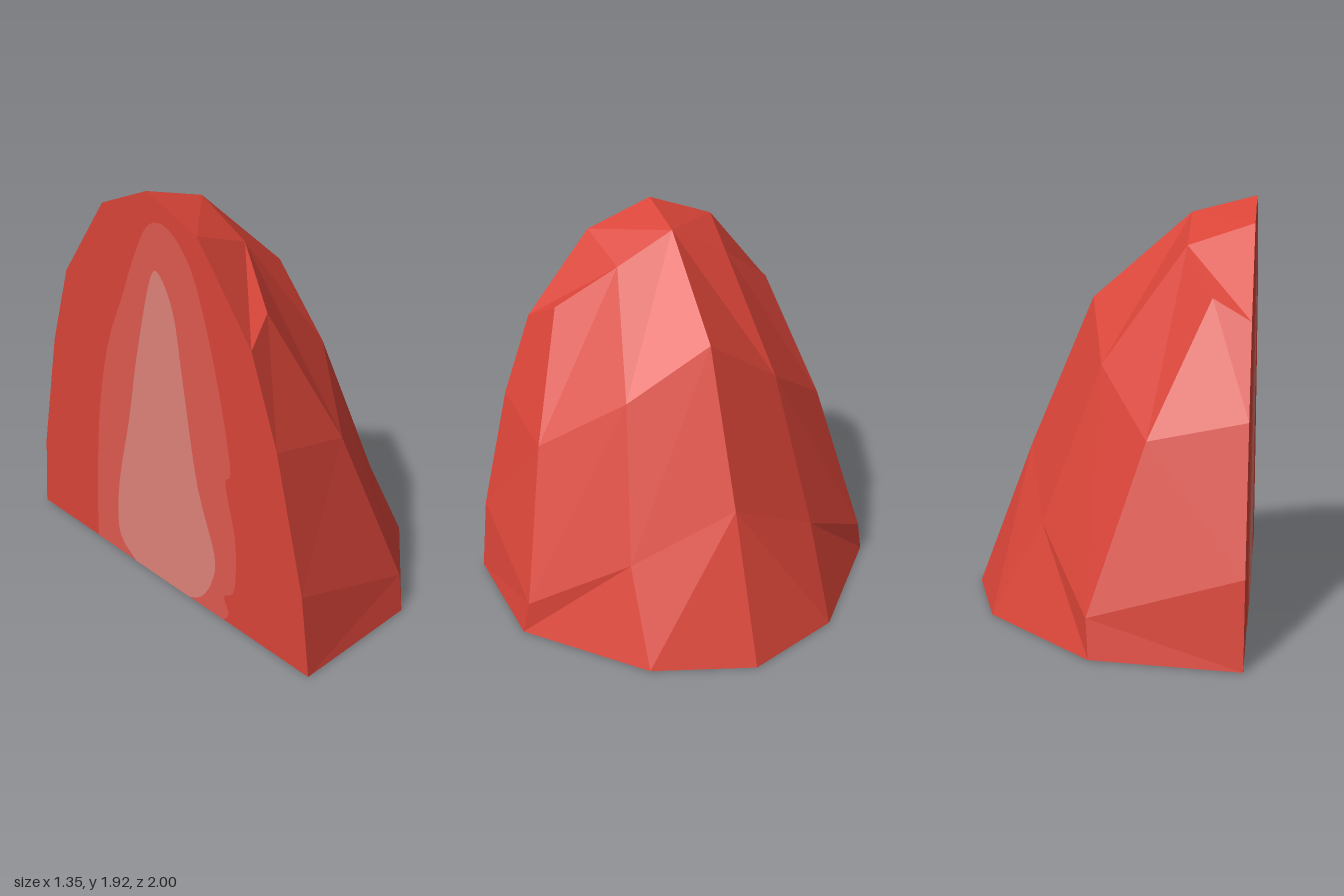
import * as THREE from 'three';

const CUT = -0.675; // x of the flat cut face

// Corner points of the +z half, in columns from the cut (a) to the middle ridge (d)
const P = {
  o: [CUT, 0, 0],
  a0: [CUT, 0, 1], a1: [CUT, 0.38, 0.955], a2: [CUT, 1, 0.8], a3: [CUT, 1.4, 0.65], a4: [CUT, 1.8, 0.325], a5: [CUT, 1.92, 0],
  b0: [-0.025, 0, 0.955], b1: [-0.01, 0.17, 0.92], b2: [-0.245, 0.9, 0.755], b3: [-0.505, 1.49, 0.56], b4: [-0.375, 1.7, 0.28],
  c0: [0.5, 0, 0.48], c1: [0.26, 0.45, 0.478], c2: [0, 1.17, 0.385],
  d0: [0.672, 0, 0], d1: [0.4, 0.72, 0], d2: [0.095, 1.44, 0], d4: [-0.375, 1.845, 0],
};

const SKIN = [
  'a0 b0 b1 a1', 'a1 b1 b2 a2', 'a2 b2 b3 a3', 'a3 b3 b4 a4', 'a4 b4 d4 a5',
  'b0 c0 c1 b1', 'b1 c1 c2 b2', 'b2 c2 b4 b3',
  'c0 d0 d1 c1', 'c1 d1 d2 c2', 'c2 d2 d4 b4',
];
const CUT_FACE = ['o a0 a1 a2 a3 a4 a5'];
const BASE = ['o d0 c0 b0 a0'];

// Fans each polygon into triangles and mirrors it across z = 0
function facetGeometry(faces) {
  const pos = [];
  for (const face of faces) {
    const pts = face.split(' ').map((k) => P[k]);
    for (let i = 1; i < pts.length - 1; i++) {
      const tri = [pts[0], pts[i], pts[i + 1]];
      tri.forEach((p) => pos.push(...p));
      tri.reverse().forEach(([x, y, z]) => pos.push(x, y, -z));
    }
  }
  const g = new THREE.BufferGeometry();
  g.setAttribute('position', new THREE.Float32BufferAttribute(pos, 3));
  g.computeVertexNormals();
  return g;
}

// Flat patch with a soft curved outline, closed by a straight edge
function patchGeometry(points) {
  const v = points.map(([x, y]) => new THREE.Vector2(x, y));
  const shape = new THREE.Shape();
  shape.moveTo(v[0].x, v[0].y);
  shape.splineThru(v.slice(1));
  return new THREE.ShapeGeometry(shape, 4);
}

function material(name, color) {
  const m = new THREE.MeshStandardMaterial({ color });
  m.name = name;
  return m;
}

export function createModel() {
  const group = new THREE.Group();
  group.name = 'halvedBerry';
  const red = material('red', 0xd94438);
  const coral = material('coral', 0xdd5a50);
  const pink = material('pink', 0xdd8278);

  const add = (name, geometry, mat) => {
    const mesh = new THREE.Mesh(geometry, mat);
    mesh.name = name;
    group.add(mesh);
    return mesh;
  };

  // Faceted body
  add('skin', facetGeometry(SKIN), red);
  add('cutFace', facetGeometry(CUT_FACE), red);
  add('base', facetGeometry(BASE), red);

  // Lighter flesh on the cut face, drawn as (z, y)
  const flesh = patchGeometry([
    [0.45, 0], [0.49, 0.05], [0.46, 0.13], [0.53, 0.2], [0.54, 0.46], [0.48, 0.72], [0.515, 0.8],
    [0.45, 1.14], [0.35, 1.49], [0.26, 1.68], [0.13, 1.79], [0, 1.77], [-0.11, 1.6],
    [-0.21, 1.39], [-0.34, 1.12], [-0.44, 0.75], [-0.5, 0.3], [-0.52, 0],
  ]).rotateY(-Math.PI / 2);
  add('outerFlesh', flesh, coral).position.x = CUT - 0.002;

  const core = patchGeometry([
    [0.21, 0], [0.3, 0.05], [0.375, 0.165], [0.4, 0.32], [0.29, 0.64], [0.21, 1.11], [0.16, 1.41],
    [0.07, 1.57], [0, 1.52], [-0.12, 1.12], [-0.2, 0.785], [-0.31, 0.385], [-0.325, 0.11], [-0.2, 0],
  ]).rotateY(-Math.PI / 2);
  add('core', core, pink).position.x = CUT - 0.004;

  // Small spill of the core under the base, drawn as (x, z)
  const spill = patchGeometry([
    [CUT, -0.17], [CUT + 0.054, -0.11], [CUT + 0.12, -0.065], [CUT + 0.1, 0.005], [CUT + 0.066, 0.07], [CUT, 0.13],
  ]).rotateX(Math.PI / 2);
  add('coreUnderside', spill, pink).position.y = -0.002;

  return group;
}
